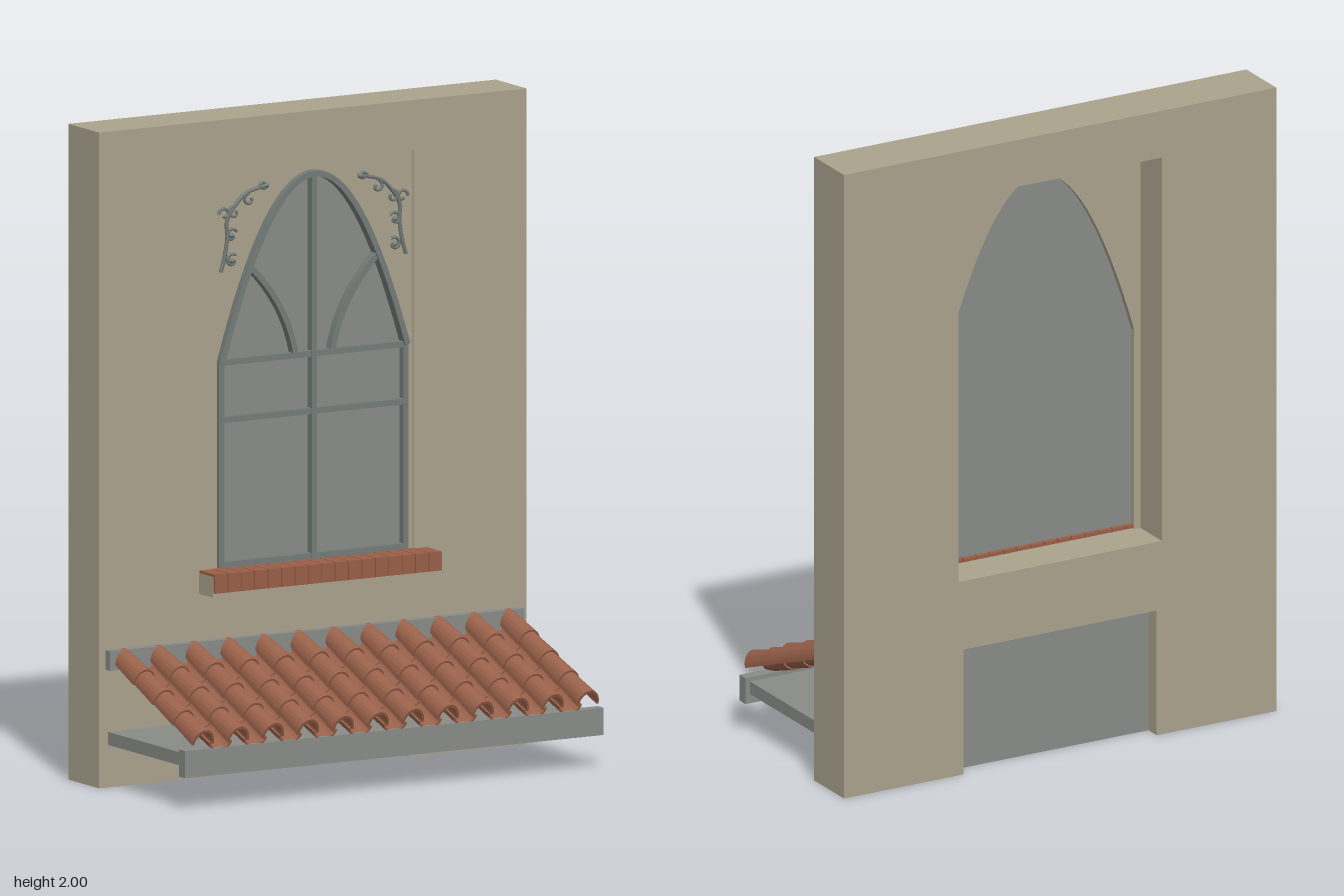
import * as THREE from 'three';
import { toCreasedNormals } from 'three/addons/utils/BufferGeometryUtils.js';

const material = (name, color) => new THREE.MeshStandardMaterial({ name, color });

export function createModel() {
  const plaster = material('plaster', 0xaaa28c);
  const grey = material('grey', 0x888b86);
  const iron = material('iron', 0x747c78);
  const brick = material('brick', 0x9a5f47);
  const terracotta = material('terracotta', 0x99614a);

  const model = new THREE.Group();
  model.name = 'windowFacade';

  const add = (parent, name, geometry, mat) => {
    const mesh = new THREE.Mesh(geometry, mat);
    mesh.name = name;
    parent.add(mesh);
    return mesh;
  };
  const group = (name) => {
    const g = new THREE.Group();
    g.name = name;
    model.add(g);
    return g;
  };
  // box given by its limits
  const box = (parent, name, mat, x0, x1, y0, y1, z0, z1) => {
    const mesh = add(parent, name, new THREE.BoxGeometry(x1 - x0, y1 - y0, z1 - z0), mat);
    mesh.position.set((x0 + x1) / 2, (y0 + y1) / 2, (z0 + z1) / 2);
    return mesh;
  };
  const slab = (shape, z0, z1) =>
    new THREE.ExtrudeGeometry(shape, { depth: z1 - z0, bevelEnabled: false, curveSegments: 10 }).translate(0, 0, z0);
  const points = (list) => list.map(([x, y]) => new THREE.Vector2(x, y));

  // flat strip of constant width along a 2D line
  const strip = (line, width, z0, z1) => {
    const sides = [1, -1].map((side) => line.map((p, i) => {
      const a = line[Math.max(i - 1, 0)], b = line[Math.min(i + 1, line.length - 1)];
      const t = b.clone().sub(a).normalize();
      return new THREE.Vector2(p.x - t.y * side * width / 2, p.y + t.x * side * width / 2);
    }));
    return toCreasedNormals(slab(new THREE.Shape([...sides[0], ...sides[1].reverse()]), z0, z1), 0.5);
  };

  // parabolic pointed arch, from left spring to right spring
  const SPRING = 1.26;
  const arch = (half, apex) => Array.from({ length: 33 }, (_, i) => {
    const u = i / 16 - 1;
    return new THREE.Vector2(u * half, apex - (apex - SPRING) * u * u);
  });

  // wall with window opening and low opening at the base
  const wall = new THREE.Shape(points([
    [-0.75, 0], [-0.335, 0], [-0.335, 0.4], [0.335, 0.4], [0.335, 0], [0.75, 0], [0.75, 2], [-0.75, 2]]));
  wall.holes.push(new THREE.Path(points([[-0.353, 0.62], [-0.353, 1.85], [0.353, 1.85], [0.353, 0.62]])));
  add(model, 'wall', slab(wall, -0.33, -0.15), plaster);
  box(model, 'lowerPanel', grey, -0.335, 0.335, 0, 0.4, -0.28, -0.23);

  // arched surround set in the window opening
  const surround = new THREE.Shape([
    ...points([[-0.353, 0.62], [-0.332, 0.62]]), ...arch(0.332, 1.82),
    ...points([[0.332, 0.62], [0.353, 0.62], [0.353, 1.85], [-0.353, 1.85]])]);
  add(model, 'archSurround', slab(surround, -0.2, -0.157), plaster);

  // glass and glazing bars
  const win = group('window');
  const glass = new THREE.Shape([...points([[-0.332, 0.62]]), ...arch(0.332, 1.82), ...points([[0.332, 0.62]])]);
  add(win, 'glass', slab(glass, -0.18, -0.168), grey);
  add(win, 'archFrame', strip(arch(0.325, 1.81), 0.018, -0.168, -0.136), iron);
  for (const s of [-1, 1]) {
    const x = s * 0.323;
    box(win, 'sideFrame', iron, x - 0.009, x + 0.009, 0.635, 1.265, -0.168, -0.145);
    const curve = new THREE.QuadraticBezierCurve(
      new THREE.Vector2(s * 0.23, 1.55), new THREE.Vector2(s * 0.095, 1.425), new THREE.Vector2(s * 0.065, 1.265));
    add(win, 'curvedBar', strip(curve.getPoints(14), 0.018, -0.168, -0.141), iron);
  }
  box(win, 'centreBar', iron, -0.009, 0.009, 0.635, 1.81, -0.168, -0.142);
  for (const y of [0.643, 1.085, 1.26])
    box(win, 'crossBar', iron, -0.325, 0.325, y - 0.009, y + 0.009, -0.168, -0.144);

  // scroll ornaments in the upper corners
  const tube = (list, r) => new THREE.TubeGeometry(
    new THREE.CatmullRomCurve3(list.map(([x, y]) => new THREE.Vector3(x, y, -0.148))), list.length * 5, r, 6);
  const scroll = (cx, cy, r, start, turn) => Array.from({ length: 10 }, (_, i) => {
    const a = start + turn * i * 0.62, k = r * (1 - i * 0.075);
    return [cx + k * Math.cos(a), cy + k * Math.sin(a)];
  });
  for (const s of [-1, 1]) {
    const ornament = group(s > 0 ? 'leftOrnament' : 'rightOrnament');
    const flip = (list) => list.map(([x, y]) => [x * s, y]);
    add(ornament, 'stem', tube(flip([
      [0.325, 1.535], [0.312, 1.58], [0.302, 1.64], [0.303, 1.69], [0.275, 1.735], [0.235, 1.77], [0.17, 1.787]]), 0.006), iron);
    for (const [x, y, r, a, t] of [[0.285, 1.568, 0.022, 2.2, -1], [0.287, 1.645, 0.022, 2.6, -1],
      [0.312, 1.712, 0.021, 0, 1], [0.278, 1.715, 0.02, 1.6, -1], [0.225, 1.75, 0.02, 1.6, -1], [0.175, 1.785, 0.014, 0, 1]])
      add(ornament, 'scroll', tube(flip(scroll(x, y, r, a, t)), 0.005), iron);
    for (const [x, y] of [[0.165, 1.787], [0.287, 1.645], [0.285, 1.568]])
      add(ornament, 'bud', new THREE.SphereGeometry(0.009, 8, 6), iron).position.set(x * s, y, -0.148);
  }

  // sill core faced with bricks on the top and front
  const sill = group('sill');
  box(sill, 'sillCore', plaster, -0.4, 0.4, 0.562, 0.625, -0.15, -0.068);
  const BRICKS = 17, pitch = 0.8 / BRICKS;
  const brickShape = new THREE.Shape(points([
    [0.06, 0.575], [0.06, 0.633], [0.195, 0.633], [0.195, 0.622], [0.07, 0.622], [0.07, 0.575]]));
  const brickGeo = slab(brickShape, -pitch / 2 + 0.0015, pitch / 2 - 0.0015).rotateY(Math.PI / 2);
  for (let i = 0; i < BRICKS; i++)
    add(sill, 'brick', brickGeo, brick).position.set(-0.4 + (i + 0.5) * pitch, 0, 0).setZ(0);

  // canopy supports
  const canopy = group('canopy');
  box(canopy, 'canopySlab', grey, -0.72, 0.72, 0.13, 0.17, -0.15, 0.292);
  box(canopy, 'frontBeam', grey, -0.735, 0.735, 0.1, 0.183, 0.288, 0.323);
  box(canopy, 'wallRail', grey, -0.728, 0.728, 0.36, 0.42, -0.15, -0.125);

  // half-round clay tile, tapered along its length
  const LENGTH = 0.145;
  const tile = (r, squash, backScale, frontScale) => {
    const shape = new THREE.Shape();
    shape.absarc(0, 0, r, 0, Math.PI, false);
    shape.absarc(0, 0, r - 0.007, Math.PI, 0, true);
    const geo = slab(shape, 0, LENGTH);
    const p = geo.attributes.position;
    for (let i = 0; i < p.count; i++) {
      const k = THREE.MathUtils.lerp(backScale, frontScale, p.getZ(i) / LENGTH);
      p.setXY(i, p.getX(i) * k, p.getY(i) * k * squash);
    }
    return toCreasedNormals(geo, 0.7);
  };
  const coverGeo = tile(0.038, 1.3, 0.84, 1);
  const panGeo = tile(0.046, 0.75, 1, 0.88).rotateZ(Math.PI);

  // sloping tile rows
  const roof = new THREE.Group();
  roof.name = 'tileRoof';
  roof.position.set(0, 0.385, -0.15);
  roof.rotation.x = Math.atan2(0.185, 0.475);
  canopy.add(roof);
  const STEP = 0.1227, COLUMNS = 12;
  for (let row = 0; row < 4; row++) {
    for (let c = 0; c < COLUMNS; c++) {
      const x = (c - (COLUMNS - 1) / 2) * STEP, z = row * 0.123;
      add(roof, 'coverTile', coverGeo, terracotta).position.set(x, 0, z);
      if (c < COLUMNS - 1)
        add(roof, 'panTile', panGeo, terracotta).position.set(x + STEP / 2, 0.004, z);
    }
  }
  return model;
}
